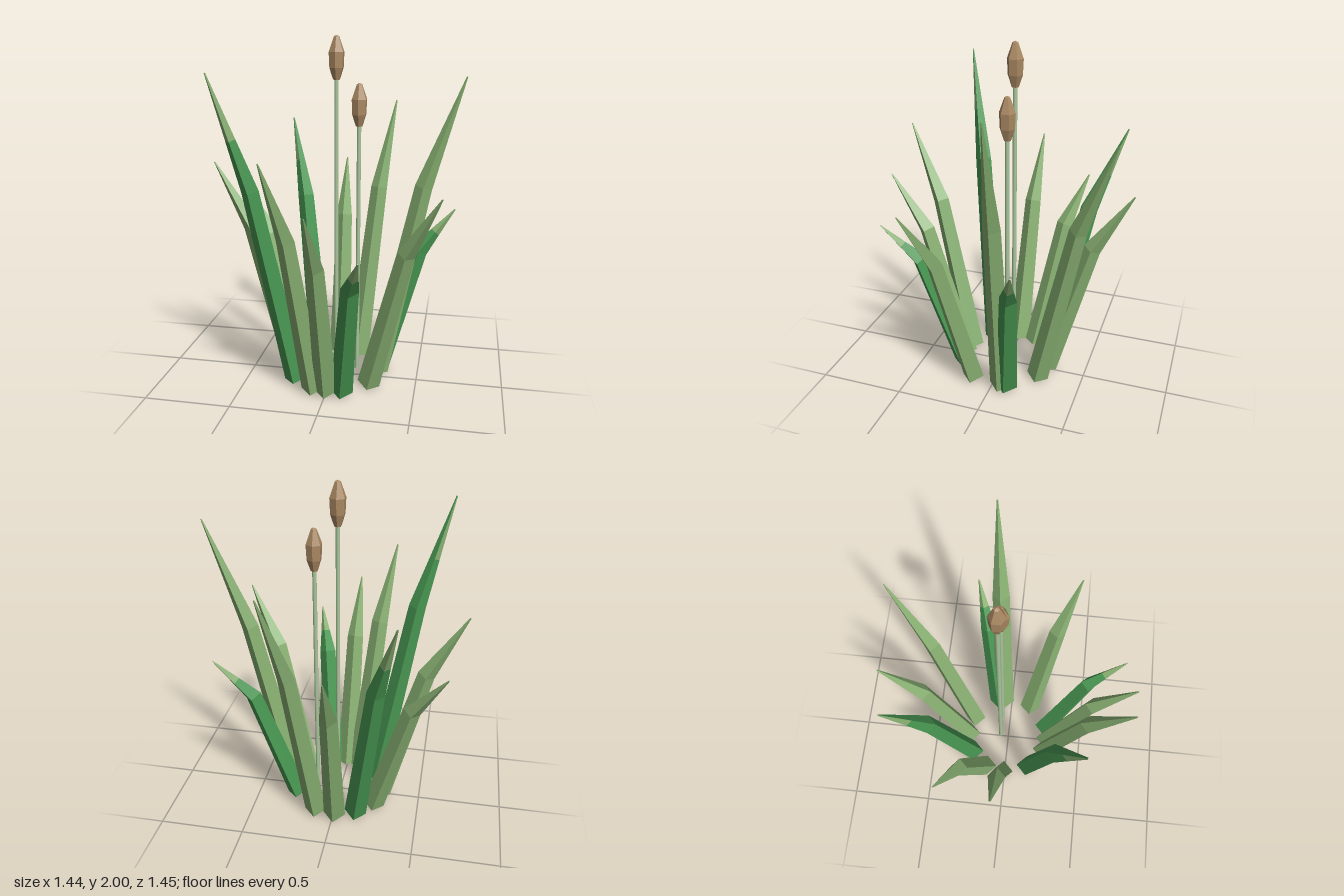
import * as THREE from 'three';

const paint = (name, color) => {
  const m = new THREE.MeshStandardMaterial({ color });
  m.name = name;
  return m;
};

// Flat-shaded skin over rings of equal point count, closed at both ends
function loft(rings) {
  const n = rings[0].length;
  const pos = rings.flat().flatMap((p) => [p.x, p.y, p.z]);
  const idx = [];
  for (let r = 0; r < rings.length - 1; r++) {
    for (let i = 0; i < n; i++) {
      const a = r * n + i, b = r * n + ((i + 1) % n);
      idx.push(a, b, b + n, a, b + n, a + n);
    }
  }
  const last = (rings.length - 1) * n;
  for (let i = 1; i < n - 1; i++) {
    idx.push(0, i + 1, i, last, last + i, last + i + 1);
  }
  const indexed = new THREE.BufferGeometry();
  indexed.setAttribute('position', new THREE.Float32BufferAttribute(pos, 3));
  indexed.setIndex(idx);
  const g = indexed.toNonIndexed();
  g.computeVertexNormals();
  return g;
}

// Four-cornered ring square to the growing direction
function ring(center, dir, radius) {
  const q = new THREE.Quaternion().setFromUnitVectors(
    new THREE.Vector3(0, 1, 0), dir.clone().normalize());
  return [0, 1, 2, 3].map((i) => {
    const a = (i * Math.PI) / 2;
    return new THREE.Vector3(Math.sin(a) * radius, 0, Math.cos(a) * radius)
      .applyQuaternion(q).add(center);
  });
}

// base x, base z, tip x, tip height, tip z, deep green or not
const BLADES = [
  [-0.01, -0.262, -0.045, 1.2, -0.72, false],
  [0.11, -0.24, 0.28, 1.59, -0.67, false],
  [0.255, -0.09, 0.68, 1.0, -0.25, true],
  [0.258, -0.053, 0.715, 1.78, -0.13, false],
  [0.23, 0.13, 0.625, 1.21, 0.37, false],
  [0.09, 0.245, 0.245, 0.95, 0.68, true],
  [0, 0.26, -0.01, 1.17, 0.72, false],
  [-0.08, 0.245, -0.24, 1.42, 0.68, false],
  [-0.205, 0.145, -0.585, 1.82, 0.41, true],
  [-0.255, -0.01, -0.715, 1.28, -0.02, false],
  [-0.23, -0.125, -0.63, 1.07, -0.345, false],
  [-0.133, -0.225, -0.38, 1.47, -0.61, true],
];

export function createModel() {
  const model = new THREE.Group();
  model.name = 'reedClump';
  const paleGreen = paint('pale leaf green', 0x88b072);
  const deepGreen = paint('deep leaf green', 0x489752);
  const stemGreen = paint('stem green', 0xa9c69b);
  const brown = paint('seed head brown', 0xaa8963);

  const add = (parent, name, geometry, material) => {
    const mesh = new THREE.Mesh(geometry, material);
    mesh.name = name;
    parent.add(mesh);
    return mesh;
  };

  // Leaning blades, bent outward partway up
  for (const [bx, bz, tx, ty, tz, deep] of BLADES) {
    const base = new THREE.Vector3(bx, 0.02, bz);
    const tip = new THREE.Vector3(tx, ty, tz);
    const bend = base.clone().lerp(tip, 0.53);
    bend.y = 0.73 + (ty - 0.95) * 0.52;
    const lower = bend.clone().sub(base).normalize();
    const upper = tip.clone().sub(bend).normalize();
    const fade = bend.clone().lerp(tip, 0.45);

    const baseRing = ring(base, lower, 0.066);
    const bendRing = ring(bend, lower.clone().add(upper), 0.05);
    const fadeRing = ring(fade, upper, 0.029);
    const tipRing = ring(tip, upper, 0.004);

    const blade = new THREE.Group();
    blade.name = 'blade';
    if (deep) {
      add(blade, 'bladeBody', loft([baseRing, bendRing, fadeRing]), deepGreen);
      // Pale tip; a side facing straight inward stays deep green
      const tipShape = loft([fadeRing, tipRing]);
      const inward = new THREE.Vector2(bx - tx, bz - tz).normalize();
      for (let i = 0; i < 4; i++) {
        const a = ((i + 0.5) * Math.PI) / 2;
        const facing = inward.x * Math.sin(a) + inward.y * Math.cos(a);
        tipShape.addGroup(i * 6, 6, facing > 0.93 ? 1 : 0);
      }
      tipShape.addGroup(24, 12, 0);
      add(blade, 'bladeTip', tipShape, [paleGreen, deepGreen]);
    } else {
      add(blade, 'bladeBody', loft([baseRing, bendRing, tipRing]), paleGreen);
    }
    model.add(blade);
  }

  // Two upright round stems with six-sided seed heads
  const podProfile = [[0, 0], [0.02, 0], [0.042, 0.065], [0.046, 0.15], [0.016, 0.232], [0, 0.24]]
    .map(([r, y]) => new THREE.Vector2(r, y));
  for (const [x, podBase] of [[0.004, 1.76], [0.133, 1.505]]) {
    const reed = new THREE.Group();
    reed.name = 'reed';
    reed.position.set(x, 0, -0.053);
    const height = podBase - 0.01;
    const stem = new THREE.CylinderGeometry(0.012, 0.012, height, 16);
    add(reed, 'stem', stem, stemGreen).position.y = 0.02 + height / 2;
    const pod = new THREE.LatheGeometry(podProfile, 6).toNonIndexed();
    pod.computeVertexNormals();
    add(reed, 'seedHead', pod, brown).position.y = podBase;
    model.add(reed);
  }
  return model;
}
